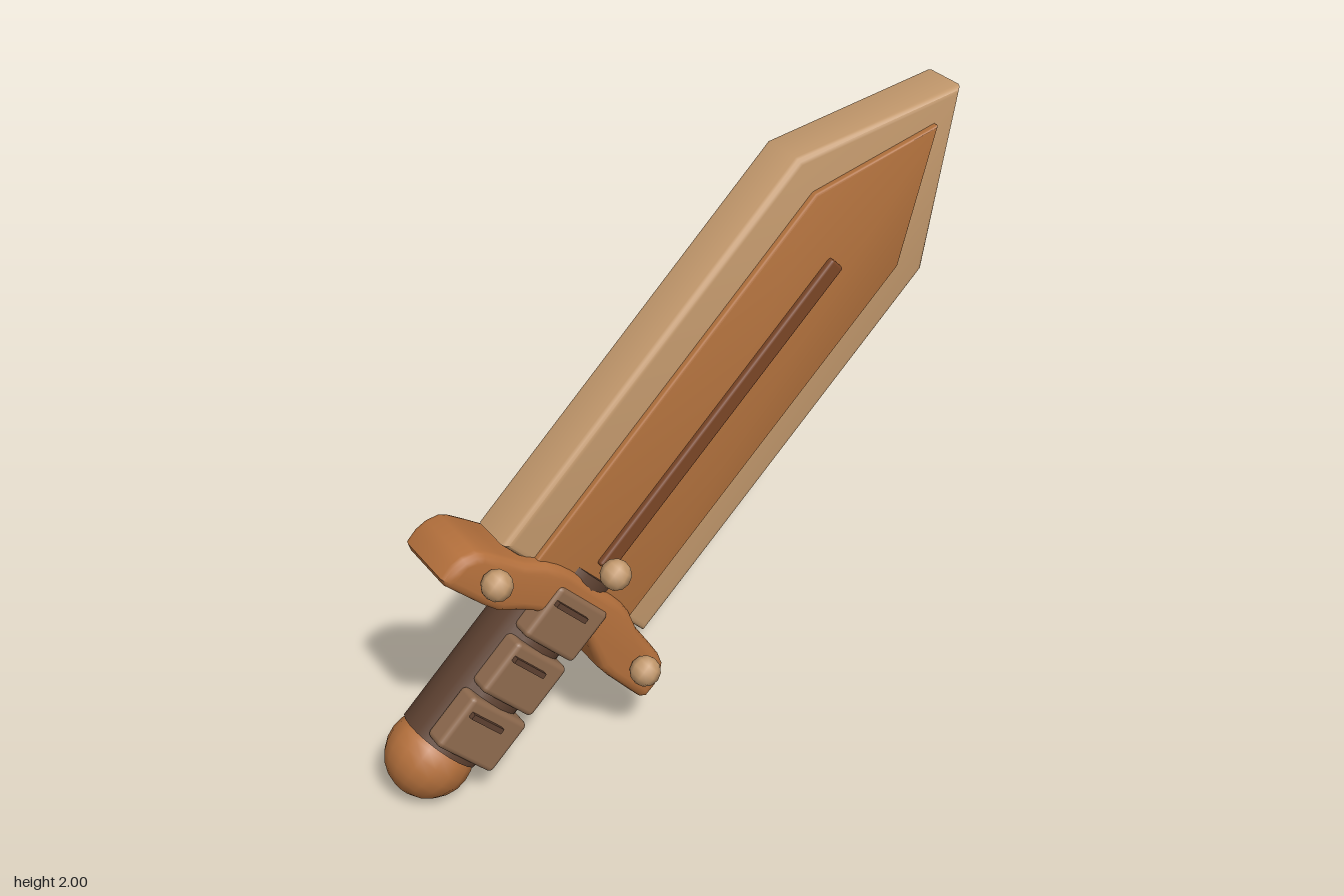
import * as THREE from 'three';
import { toCreasedNormals } from 'three/addons/utils/BufferGeometryUtils.js';
import { RoundedBoxGeometry } from 'three/addons/geometries/RoundedBoxGeometry.js';

const paint = (color) => new THREE.MeshStandardMaterial({ color });
const tan = paint(0xc2986c), orange = paint(0xb4703c), panelWood = paint(0xb0703c);
const darkWood = paint(0x5c4030), plateWood = paint(0x8e6a4e), ridgeWood = paint(0x7a4526);

// Symmetric outline: right-hand points from bottom to top, mirrored to the left
function mirrored(right) {
  const left = right.filter(([x]) => x > 0).map(([x, y]) => [-x, y]).reverse();
  return new THREE.Shape([...right, ...left].map(([x, y]) => new THREE.Vector2(x, y)));
}

// Bevelled slab between two depths, keeping the outline as its outer size
function slab(shape, z0, z1, bevel) {
  const geo = new THREE.ExtrudeGeometry(shape, {
    depth: z1 - z0 - 2 * bevel, bevelEnabled: true, bevelThickness: bevel,
    bevelSize: bevel, bevelOffset: -bevel, bevelSegments: 3, steps: 1,
  });
  geo.translate(0, 0, z0 + bevel);
  return toCreasedNormals(geo, 0.75);
}

export function createModel() {
  const model = new THREE.Group();
  const sword = new THREE.Group();
  sword.name = 'sword';
  // The sword is built upright, then tilted 45 degrees
  sword.position.set(-0.5, 0.5, 0);
  sword.rotation.z = -Math.PI / 4;
  model.add(sword);

  function add(name, geo, mat, x = 0, y = 0, z = 0) {
    const mesh = new THREE.Mesh(geo, mat);
    mesh.name = name;
    mesh.position.set(x, y, z);
    sword.add(mesh);
    return mesh;
  }

  // Blade, inlaid panel and central ridge
  const blade = mirrored([[0.34, 0.184], [0.34, 1.626], [0, 2.121]]);
  add('blade', slab(blade, -0.135, 0.045, 0.022), tan);
  const panel = mirrored([[0.224, 0.2], [0.224, 1.58], [0, 1.98]]);
  add('bladePanel', slab(panel, 0.03, 0.068, 0.008), panelWood);
  add('bladeRidge', new RoundedBoxGeometry(0.058, 1.17, 0.04, 2, 0.01), ridgeWood, 0, 0.88, 0.068);

  // Arched crossguard
  const guard = mirrored([
    [0.12, 0.072], [0.17, 0.052], [0.24, 0.016], [0.3, 0.008], [0.46, 0.0], [0.484, 0.012],
    [0.486, 0.06], [0.475, 0.1], [0.45, 0.135], [0.42, 0.15], [0.36, 0.165], [0.27, 0.185],
    [0.2, 0.218], [0.15, 0.23], [0.1, 0.234],
  ]);
  add('crossguard', slab(guard, -0.185, 0.095, 0.03), orange);

  // Grip running through the guard, with a ball pommel
  add('grip', new THREE.CylinderGeometry(0.137, 0.137, 0.71, 20), darkWood, 0, -0.1, -0.045);
  add('pommel', new THREE.SphereGeometry(0.141, 16, 12), orange, 0, -0.508, -0.045);

  // Grip plates, each with a dark groove strip
  for (const [y, w] of [[-0.34, 0.25], [-0.125, 0.23], [0.088, 0.23]]) {
    add('gripPlate', new RoundedBoxGeometry(w, 0.192, 0.085, 2, 0.018), plateWood, 0, y, 0.064);
    add('gripGroove', new THREE.BoxGeometry(0.135, 0.018, 0.03), darkWood, -0.032, y + 0.044, 0.109);
  }

  // Round studs on the guard and at the foot of the ridge
  for (const [x, y] of [[-0.355, 0.093], [0, 0.305], [0.355, 0.093]]) {
    add('stud', new THREE.SphereGeometry(0.05, 8, 6), tan, x, y, 0.136);
  }

  return model;
}
